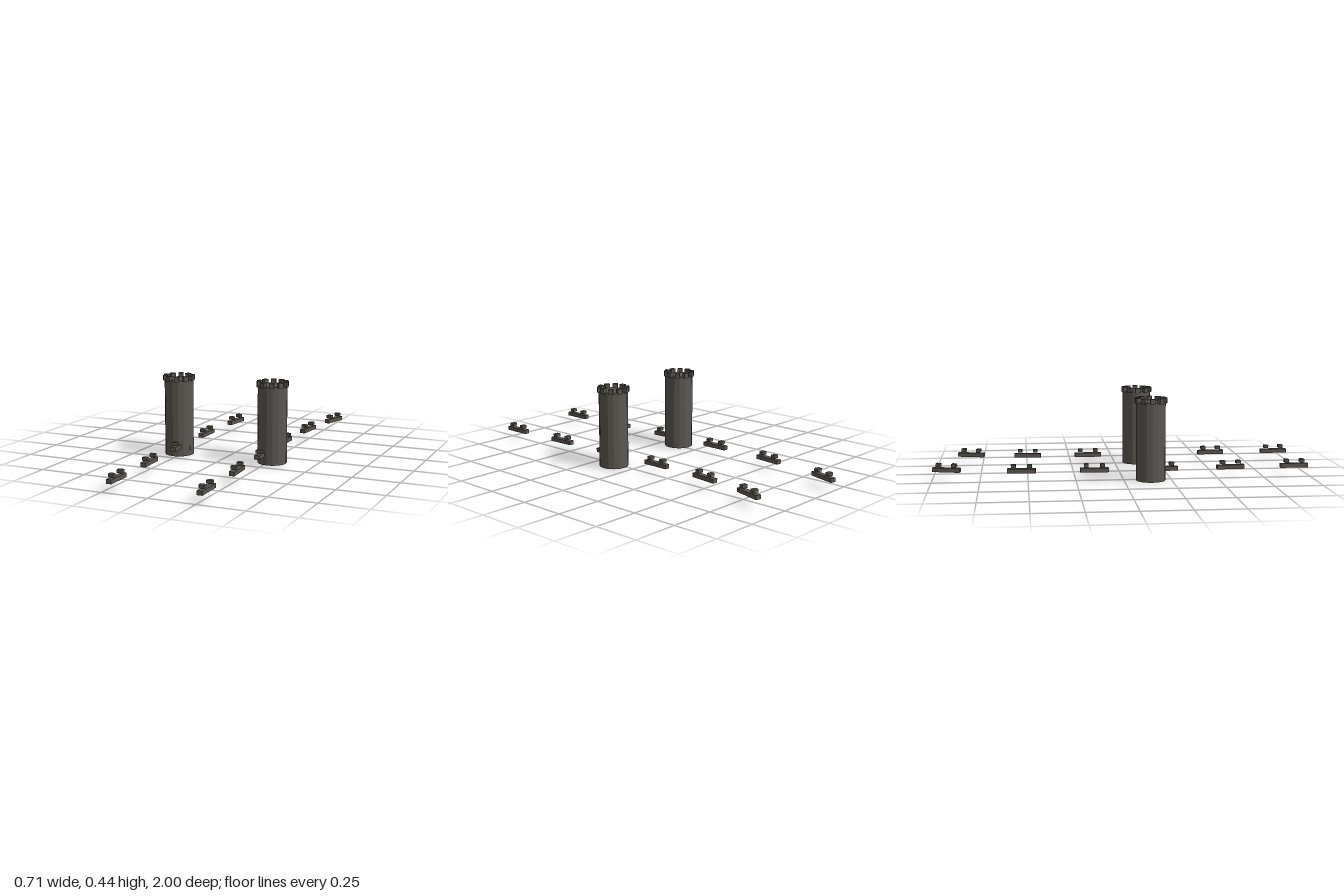
import * as THREE from 'three';

export function createModel() {
  const model = new THREE.Group();
  const stone = new THREE.MeshStandardMaterial({ color: 0x5b5650, flatShading: true });
  stone.name = 'dark stone';

  const add = (parent, geometry, name, x, y, z) => {
    const mesh = new THREE.Mesh(geometry, stone);
    mesh.name = name;
    mesh.position.set(x, y, z);
    parent.add(mesh);
    return mesh;
  };

  // Round towers with a crown of merlons and a door facing inward
  const bodyGeo = new THREE.CylinderGeometry(0.0775, 0.0775, 0.414, 16);
  const merlonGeo = new THREE.BoxGeometry(0.026, 0.028, 0.023);
  const doorGeo = new THREE.BoxGeometry(0.008, 0.11, 0.04);
  const merlons = 10;

  function tower(name, x, z) {
    const group = new THREE.Group();
    group.name = name;
    group.position.set(x, 0, z);
    add(group, bodyGeo, 'towerBody', 0, 0.207, 0);
    for (let i = 0; i < merlons; i++) {
      const a = ((i + 0.5) / merlons) * Math.PI * 2;
      const r = 0.073;
      add(group, merlonGeo, 'merlon', Math.sin(a) * r, 0.421, Math.cos(a) * r).rotation.y = a;
    }
    add(group, doorGeo, 'door', -Math.sign(x) * 0.0707, 0.085, 0);
    model.add(group);
  }
  tower('rightTower', -0.271, 0.14);
  tower('leftTower', 0.2685, 0.124);

  // Low wall segments, each a bar with two blocks above it
  const barGeo = new THREE.BoxGeometry(0.029, 0.022, 0.149);
  const blockGeo = new THREE.BoxGeometry(0.029, 0.017, 0.024);

  function wall(name, x, z, degrees) {
    const group = new THREE.Group();
    group.name = name;
    group.position.set(x, 0, z);
    group.rotation.y = THREE.MathUtils.degToRad(degrees);
    add(group, barGeo, 'wallBar', 0, 0.055, 0);
    for (const s of [-1, 1]) add(group, blockGeo, 'wallBlock', 0, 0.0805, s * 0.0425);
    model.add(group);
  }

  // x, z and turn of every segment, from back to front
  const rightWalls = [
    [-0.176, -0.924, -15], [-0.237, -0.533, -6], [-0.25, -0.154, 0],
    [-0.241, 0.212, 4], [-0.222, 0.573, 3], [-0.211, 0.921, 1],
  ];
  const leftWalls = [
    [0.288, -0.814, -14], [0.241, -0.496, -6], [0.23, -0.156, 0],
    [0.24, 0.196, 2], [0.256, 0.551, 3], [0.267, 0.922, 1],
  ];
  rightWalls.forEach((w) => wall('rightWall', ...w));
  leftWalls.forEach((w) => wall('leftWall', ...w));

  return model;
}
